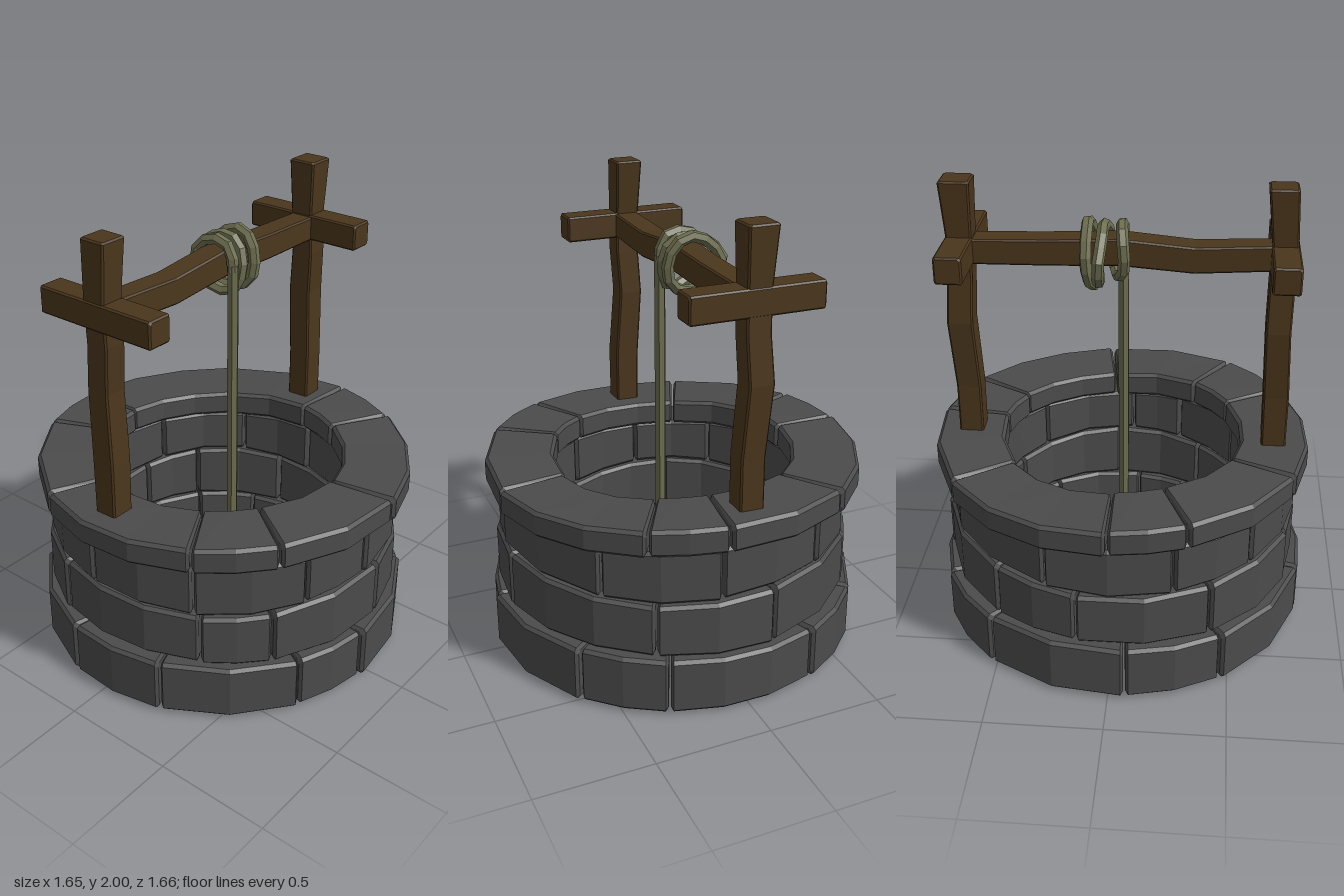
import * as THREE from 'three';

const stoneMat = new THREE.MeshStandardMaterial({ color: 0x4b4b4b, flatShading: true });
const woodMat = new THREE.MeshStandardMaterial({ color: 0x4a361c, flatShading: true });
const ropeMat = new THREE.MeshStandardMaterial({ color: 0x6d6d50, flatShading: true });
const V = (x, y, z) => new THREE.Vector3(x, y, z);

// Skin a row of equal-sized rings (counter-clockwise about the travel direction), capping both ends.
function loft(name, rings, material) {
  const n = rings[0].length, last = (rings.length - 1) * n, index = [];
  for (let i = 0; i < rings.length - 1; i++) {
    for (let j = 0; j < n; j++) {
      const a = i * n + j, b = i * n + (j + 1) % n;
      index.push(a, b, a + n, b, b + n, a + n);
    }
  }
  for (let j = 1; j < n - 1; j++) index.push(0, j + 1, j, last, last + j, last + j + 1);
  const indexed = new THREE.BufferGeometry().setFromPoints(rings.flat());
  indexed.setIndex(index);
  const geometry = indexed.toNonIndexed();
  geometry.computeVertexNormals();
  const mesh = new THREE.Mesh(geometry, material);
  mesh.name = name;
  return mesh;
}

// Outline of a rectangle with cut corners, counter-clockwise from u to v.
function chamfered(u0, u1, v0, v1, c) {
  return [[u0 + c, v0], [u1 - c, v0], [u1, v0 + c], [u1, v1 - c],
    [u1 - c, v1], [u0 + c, v1], [u0, v1 - c], [u0, v0 + c]];
}

// Seeded jitter in -1..1
let seed = 7;
function jitter() {
  seed = (seed * 16807) % 2147483647;
  return (seed / 2147483647) * 2 - 1;
}

// Heights of the joints between courses, gently waving around the wall
const levels = [0.005, 0.255, 0.505, 0.728, 0.848];
const waves = [0, 0.005, 0.011, 0.008, 0.011];
const levelAt = (i, t) => levels[i] + waves[i] * Math.sin(3 * t + 3.6 + (i < 3 ? i * 2 : 0));

// One bent block spanning angles t0 to t1, measured from +z towards +x
function stone(course, t0, t1, inner, outer) {
  const gap = 0.006, bevel = 0.014;
  const a = t0 + gap, b = t1 - gap;
  const parts = Math.max(2, Math.round((b - a) / 0.32));
  const stops = [[a, bevel]];
  for (let k = 0; k <= parts; k++) {
    stops.push([THREE.MathUtils.lerp(a + bevel, b - bevel, k / parts), 0]);
  }
  stops.push([b, bevel]);
  const shift = jitter() * 0.008;
  const rings = stops.map(([t, inset]) => {
    const y0 = levelAt(course, t) + 0.003 + inset, y1 = levelAt(course + 1, t) - 0.003 - inset;
    return chamfered(y0, y1, inner + shift + inset, outer + shift - inset, 0.014)
      .map(([y, r]) => V(r * Math.sin(t), y, r * Math.cos(t)));
  });
  return loft('stone', rings, stoneMat);
}

// Square timber through centre points [x, y, z, halfWidth], along a main axis
function timber(name, path, axis) {
  const dir = { x: V(1, 0, 0), y: V(0, 1, 0), z: V(0, 0, 1) }[axis];
  const u = V(dir.z, dir.x, dir.y), v = V(dir.y, dir.z, dir.x);
  const c = 0.007, end = path.length - 1;
  const ring = ([x, y, z, h], offset, inset) =>
    chamfered(-h + inset, h - inset, -h + inset, h - inset, c).map(([p, q]) =>
      V(x, y, z).addScaledVector(dir, offset).addScaledVector(u, p).addScaledVector(v, q));
  const rings = path.map((p, i) => ring(p, i === 0 ? c : i === end ? -c : 0, 0));
  rings.unshift(ring(path[0], 0, c));
  rings.push(ring(path[end], 0, c));
  return loft(name, rings, woodMat);
}

// Six-sided rope following a curve
function rope(name, curve, segments, radius) {
  const frames = curve.computeFrenetFrames(segments, false);
  const rings = [];
  for (let i = 0; i <= segments; i++) {
    const p = curve.getPointAt(i / segments);
    rings.push(Array.from({ length: 6 }, (_, k) => p.clone()
      .addScaledVector(frames.normals[i], radius * Math.cos(k * Math.PI / 3))
      .addScaledVector(frames.binormals[i], radius * Math.sin(k * Math.PI / 3))));
  }
  return loft(name, rings, ropeMat);
}

export function createModel() {
  const model = new THREE.Group();
  model.name = 'well';

  // Stone courses: inner and outer radius, and the joint angles in degrees
  const courses = [
    { name: 'baseCourse', inner: 0.555, outer: 0.822, joints: [-28, -4, 39, 66, 113, 141, 185, 215, 258, 290] },
    { name: 'lowerCourse', inner: 0.56, outer: 0.788, joints: [-36, 6, 62, 99, 142, 170, 212, 250, 302] },
    { name: 'upperCourse', inner: 0.56, outer: 0.775, joints: [-25, -1, 45, 82, 118, 160, 200, 228, 265, 300] },
    { name: 'capCourse', inner: 0.53, outer: 0.828, joints: [8, 60, 83, 125, 180, 203, 246, 300, 325] },
  ];
  courses.forEach(({ name, inner, outer, joints }, course) => {
    const group = new THREE.Group();
    group.name = name;
    joints.forEach((start, i) => {
      const stop = i + 1 < joints.length ? joints[i + 1] : joints[0] + 360;
      group.add(stone(course, THREE.MathUtils.degToRad(start), THREE.MathUtils.degToRad(stop), inner, outer));
    });
    model.add(group);
  });

  // Slightly crooked posts
  model.add(timber('leftPost', [
    [0.667, 0.8, -0.035, 0.053], [0.667, 1.07, -0.035, 0.053], [0.682, 1.38, -0.055, 0.055],
    [0.672, 1.58, -0.042, 0.053], [0.665, 1.75, -0.045, 0.053], [0.67, 2, -0.048, 0.064]], 'y'));
  model.add(timber('rightPost', [
    [-0.667, 0.8, -0.035, 0.053], [-0.665, 1.07, -0.035, 0.055], [-0.655, 1.38, -0.055, 0.053],
    [-0.658, 1.58, -0.042, 0.053], [-0.662, 1.75, -0.045, 0.053], [-0.643, 2, -0.048, 0.06]], 'y'));

  // Short bars across the posts
  for (const [name, x] of [['leftCrossbar', 0.666], ['rightCrossbar', -0.663]]) {
    model.add(timber(name, [[x, 1.705, -0.325, 0.057], [x, 1.705, 0.245, 0.057]], 'z'));
  }

  // Beam carrying the rope
  model.add(timber('beam', [
    [-0.715, 1.71, -0.04, 0.054], [-0.6, 1.705, -0.04, 0.054], [-0.3, 1.69, -0.042, 0.056],
    [0, 1.716, -0.042, 0.058], [0.3, 1.705, -0.04, 0.056], [0.6, 1.7, -0.042, 0.054],
    [0.715, 1.705, -0.045, 0.054]], 'x'));

  // Rope: hanging length and the loose coil around the beam
  model.add(rope('hangingRope', new THREE.LineCurve3(V(0, 0, 0.053), V(0, 1.72, 0.053)), 1, 0.025));
  const coil = [
    [0, 1.69, 0.053], [0, 1.79, 0.035], [0, 1.815, -0.05], [-0.01, 1.77, -0.125], [-0.015, 1.66, -0.125],
    [0.01, 1.6, -0.06], [0.03, 1.59, 0.02], [0.045, 1.65, 0.055], [0.06, 1.76, 0.05],
    [0.075, 1.81, -0.02], [0.075, 1.78, -0.13], [0.085, 1.7, -0.195], [0.09, 1.6, -0.14],
    [0.095, 1.58, -0.05], [0.115, 1.62, 0.05], [0.125, 1.74, 0.065], [0.14, 1.82, 0],
    [0.14, 1.81, -0.08], [0.14, 1.72, -0.16], [0.13, 1.61, -0.14], [0.11, 1.57, -0.09]];
  model.add(rope('ropeCoil', new THREE.CatmullRomCurve3(coil.map((p) => V(...p))), 34, 0.025));

  return model;
}
